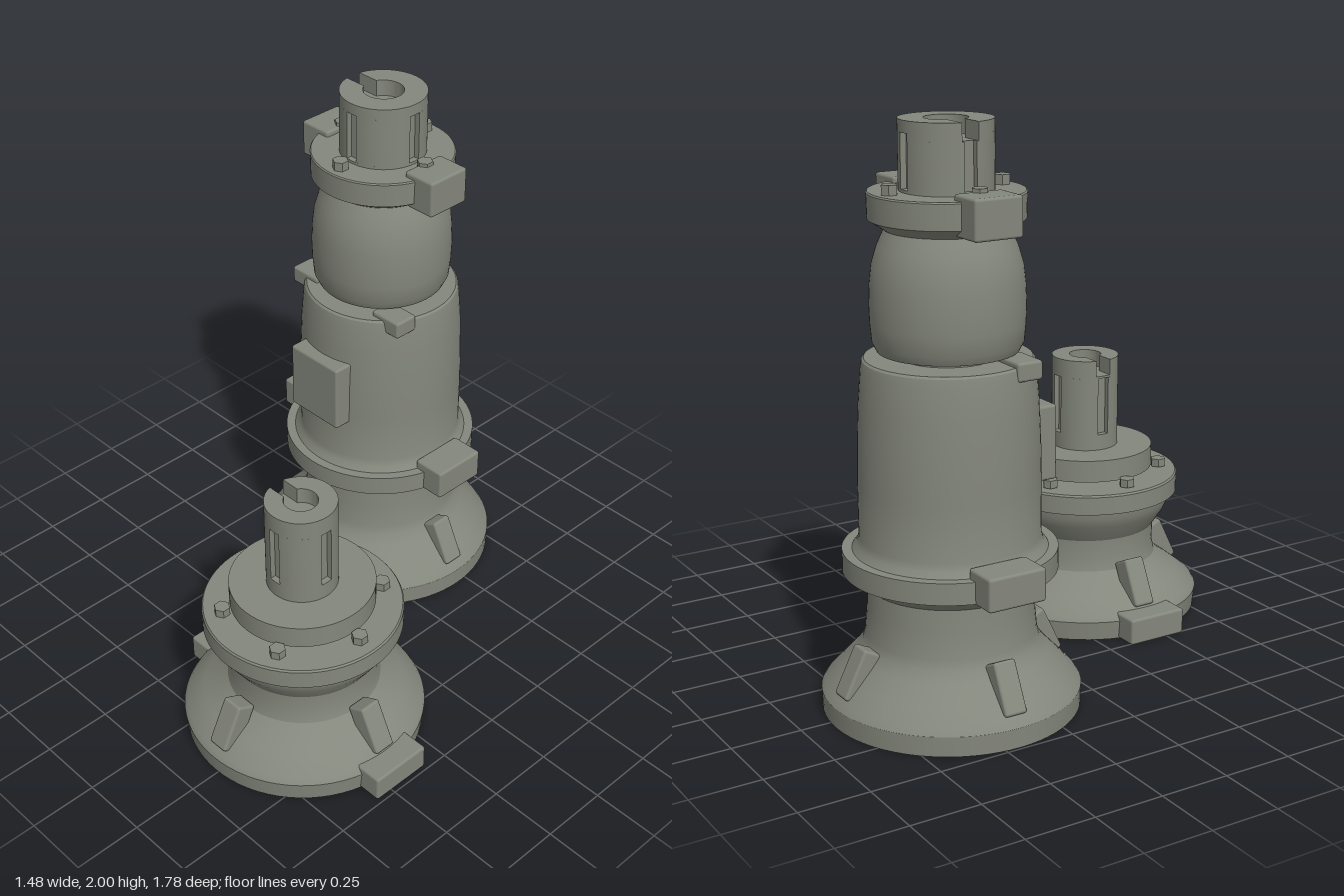
import * as THREE from 'three';
import { toCreasedNormals } from 'three/addons/utils/BufferGeometryUtils.js';
import { RoundedBoxGeometry } from 'three/addons/geometries/RoundedBoxGeometry.js';

const metal = new THREE.MeshStandardMaterial({ color: 0x84877c });
metal.name = 'greyMetal';

function add(parent, name, geometry, x = 0, y = 0, z = 0) {
  const mesh = new THREE.Mesh(geometry, metal);
  mesh.name = name;
  mesh.position.set(x, y, z);
  parent.add(mesh);
  return mesh;
}

// Turned part from [radius, height] pairs, listed bottom to top
function turned(parent, name, profile) {
  const points = profile.map(([r, y]) => new THREE.Vector2(r, y));
  return add(parent, name, toCreasedNormals(new THREE.LatheGeometry(points, 72), 0.5));
}

function block(parent, name, w, h, d, x, y, z, radius = 0.01) {
  return add(parent, name, new RoundedBoxGeometry(w, h, d, 2, radius), x, y, z);
}

// Matching blocks on both sides, from inner to outer distance
function sideBlocks(parent, name, inner, outer, y0, y1, depth, z = 0) {
  for (const s of [-1, 1]) {
    block(parent, name, outer - inner, y1 - y0, depth, s * (inner + outer) / 2, (y0 + y1) / 2, z);
  }
}

// Four tilted ribs leaning on the flared foot
function ribs(parent, radius) {
  for (let i = 0; i < 4; i++) {
    const pivot = new THREE.Group();
    pivot.name = 'footRib';
    pivot.rotation.y = i * Math.PI / 2;
    parent.add(pivot);
    block(pivot, 'rib', 0.08, 0.18, 0.082, radius, 0.173, 0).rotation.z = 0.46;
  }
}

function bolts(parent, count, radius, y0, y1) {
  for (let i = 0; i < count; i++) {
    const a = i * 2 * Math.PI / count;
    const geometry = toCreasedNormals(new THREE.CylinderGeometry(0.029, 0.029, y1 - y0, 6), 0.5);
    add(parent, 'bolt', geometry, radius * Math.cos(a), (y0 + y1) / 2, radius * Math.sin(a));
  }
}

// Shaft outline with optional side slots and an open bore with keyway on -x
function shaftSection(r, slots, bore) {
  const points = [];
  const arc = (radius, from, to, n) => {
    for (let i = 0; i <= n; i++) {
      const a = from + (to - from) * i / n;
      points.push(new THREE.Vector2(radius * Math.cos(a), radius * Math.sin(a)));
    }
  };
  const width = k => (k % 4 === 2 && bore ? 0.03 : slots ? 0.0225 : 0);
  for (let k = 0; k < 4; k++) {
    const a = k * Math.PI / 2, w = width(k);
    if (k === 2 && bore) {
      const e = Math.asin(w / bore);
      arc(bore, Math.PI - e, -Math.PI + e, 32);
    } else if (slots) {
      for (const s of [-w, w]) {
        points.push(new THREE.Vector2(r - 0.023, s).rotateAround(new THREE.Vector2(), a));
      }
    }
    arc(r, a + Math.asin(w / r), a + Math.PI / 2 - Math.asin(width(k + 1) / r), 16);
  }
  // drop repeated points where arcs meet
  const clean = points.filter((p, i) => p.distanceTo(points[(i + 1) % points.length]) > 1e-5);
  return new THREE.Shape(clean);
}

// Shaft stacked in layers so the slots and bore are real recesses
function shaft(parent, r, bore, y0, slot0, slot1, top) {
  const floor = top - 0.06;
  const levels = [y0, slot0, slot1, floor, top].sort((a, b) => a - b);
  const group = new THREE.Group();
  group.name = 'slottedShaft';
  parent.add(group);
  for (let i = 0; i < 4; i++) {
    const mid = (levels[i] + levels[i + 1]) / 2;
    const shape = shaftSection(r, mid > slot0 && mid < slot1, mid > floor ? bore : 0);
    const geometry = new THREE.ExtrudeGeometry(shape, { depth: levels[i + 1] - levels[i], bevelEnabled: false });
    geometry.rotateX(-Math.PI / 2);
    add(group, 'shaftLayer', toCreasedNormals(geometry, 0.5), 0, levels[i], 0);
  }
}

function tallUnit() {
  const g = new THREE.Group();
  g.name = 'tallUnit';
  turned(g, 'foot', [[0, 0], [0.443, 0], [0.445, 0.07], [0.432, 0.09], [0.38, 0.145], [0.33, 0.2],
    [0.302, 0.235], [0.293, 0.27], [0.285, 0.36], [0.283, 0.44], [0.325, 0.485], [0.34, 0.495]]);
  turned(g, 'lowerFlange', [[0.28, 0.49], [0.365, 0.49], [0.365, 0.565], [0.3, 0.565]]);
  turned(g, 'housing', [[0.335, 0.56], [0.315, 0.585], [0.307, 0.61], [0.308, 0.8], [0.305, 0.95],
    [0.299, 1.08], [0.29, 1.19], [0.285, 1.215], [0.278, 1.222], [0, 1.222]]);
  turned(g, 'neckRing', [[0.165, 1.215], [0.165, 1.245]]);
  turned(g, 'barrel', [[0, 1.238], [0.21, 1.238], [0.235, 1.245], [0.25, 1.275], [0.256, 1.34], [0.258, 1.4],
    [0.255, 1.47], [0.248, 1.53], [0.23, 1.59], [0.212, 1.63], [0.203, 1.65]]);
  turned(g, 'upperFlange', [[0.2, 1.642], [0.258, 1.68], [0.26, 1.765], [0.256, 1.77], [0, 1.77]]);
  shaft(g, 0.156, 0.073, 1.765, 1.78, 1.96, 2.0);
  bolts(g, 4, 0.208, 1.765, 1.803);
  sideBlocks(g, 'upperLug', 0.195, 0.327, 1.655, 1.79, 0.175);
  sideBlocks(g, 'shoulderClip', 0.145, 0.277, 1.175, 1.24, 0.095, 0.145);
  sideBlocks(g, 'lowerLug', 0.305, 0.435, 0.485, 0.6, 0.215);
  block(g, 'frontPlate', 0.243, 0.262, 0.09, 0, 0.9, 0.303);
  ribs(g, 0.353);
  g.position.set(-0.298, 0, -0.45);
  return g;
}

function shortUnit() {
  const g = new THREE.Group();
  g.name = 'shortUnit';
  turned(g, 'foot', [[0, 0], [0.43, 0], [0.437, 0.07], [0.425, 0.09], [0.36, 0.14], [0.305, 0.18],
    [0.275, 0.21], [0.265, 0.25], [0.268, 0.33], [0.31, 0.395], [0.325, 0.43], [0.328, 0.465]]);
  turned(g, 'flange', [[0.3, 0.462], [0.355, 0.462], [0.355, 0.53], [0.35, 0.537], [0, 0.537]]);
  turned(g, 'collar', [[0, 0.557], [0.257, 0.557], [0.257, 0.64], [0, 0.64]]);
  shaft(g, 0.126, 0.06, 0.635, 0.7, 0.92, 0.988);
  bolts(g, 6, 0.286, 0.54, 0.57);
  sideBlocks(g, 'footLug', 0.36, 0.5, 0, 0.098, 0.235);
  ribs(g, 0.345);
  g.position.set(0.236, 0, 0.453);
  return g;
}

export function createModel() {
  const model = new THREE.Group();
  model.name = 'flangedShaftUnits';
  model.add(tallUnit(), shortUnit());
  return model;
}
